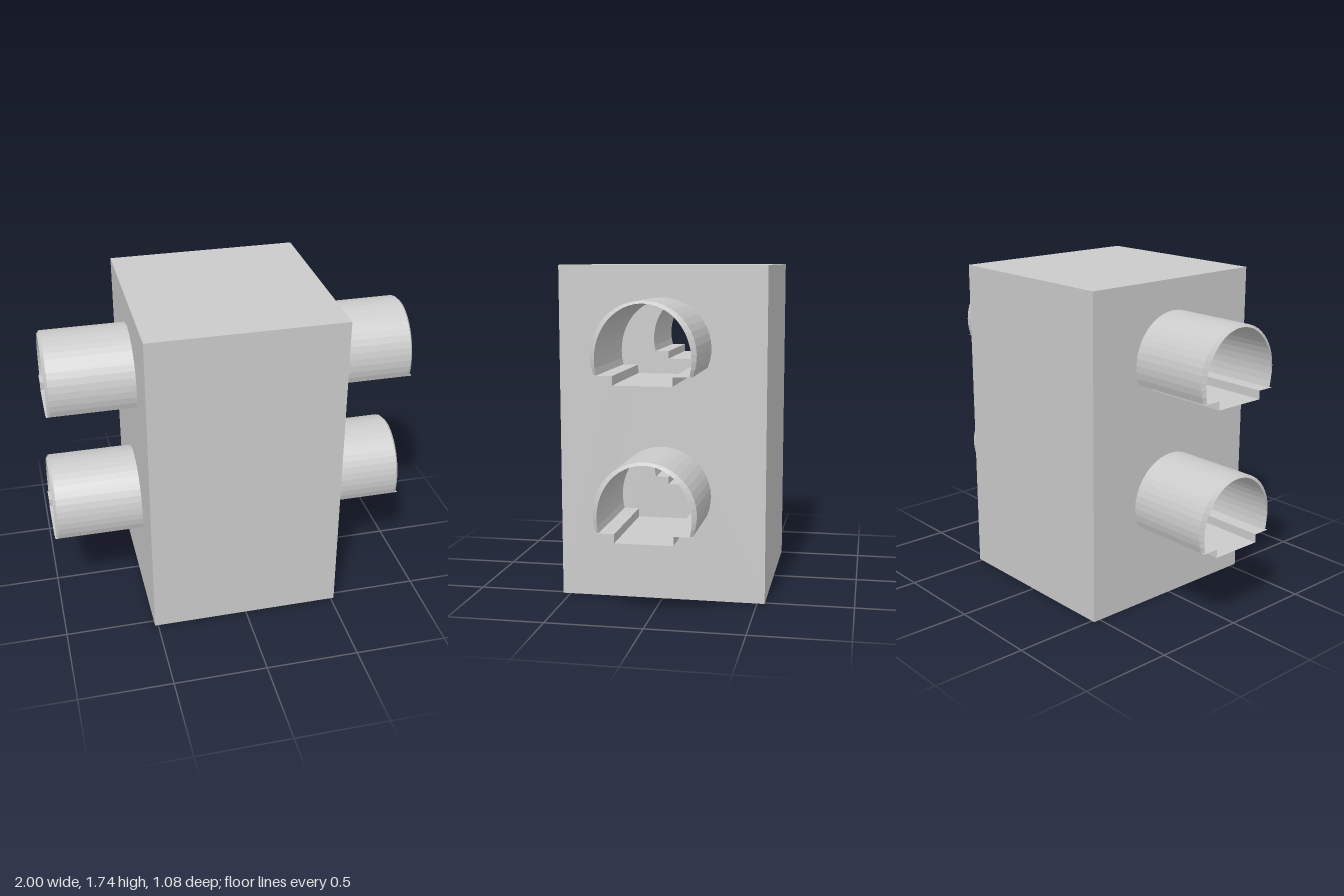
import * as THREE from 'three';

const W = 1.035, H = 1.74, D = 1.08;       // housing size
const LEVELS = [0.555, 1.322];             // height of each duct axis
const LEDGE = -0.097, FLOOR = -0.142;      // duct base, measured from its axis
const INNER_X = 0.42;                      // where a duct ends inside the housing

const grey = new THREE.MeshStandardMaterial({ color: 0xcccccc, flatShading: true, side: THREE.DoubleSide });

function addMesh(parent, name, geometry) {
  const mesh = new THREE.Mesh(geometry, grey);
  mesh.name = name;
  parent.add(mesh);
  return mesh;
}

// Elliptical arch as [z, y] points, cut off level at the ledge
function arch(rz, ry, cy, n = 28) {
  const start = Math.asin((LEDGE - cy) / ry);
  const points = [];
  for (let i = 0; i <= n; i++) {
    const a = start + (Math.PI - 2 * start) * i / n;
    points.push([rz * Math.cos(a), cy + ry * Math.sin(a)]);
  }
  return points;
}

const outerArch = arch(0.256, 0.256, 0);
const innerArch = arch(0.233, 0.265, -0.022);
const channel = [
  outerArch[outerArch.length - 1],
  [-0.145, LEDGE], [-0.145, FLOOR], [0.145, FLOOR], [0.145, LEDGE],
  outerArch[0],
];

// Skin through a list of sections, each { x, points }
function loft(sections) {
  const n = sections[0].points.length;
  const position = [], index = [];
  sections.forEach(({ x, points }) => points.forEach(([z, y]) => position.push(x, y, z)));
  for (let s = 0; s < sections.length - 1; s++) {
    for (let i = 0; i < n - 1; i++) {
      const a = s * n + i, b = a + n;
      index.push(a, a + 1, b, b, a + 1, b + 1);
    }
  }
  const geometry = new THREE.BufferGeometry();
  geometry.setAttribute('position', new THREE.Float32BufferAttribute(position, 3));
  geometry.setIndex(index);
  geometry.computeVertexNormals();
  return geometry;
}

// Side wall with a duct-shaped opening at each level
function sideWall() {
  const shape = new THREE.Shape([
    new THREE.Vector2(-D / 2, 0), new THREE.Vector2(D / 2, 0),
    new THREE.Vector2(D / 2, H), new THREE.Vector2(-D / 2, H),
  ]);
  const outline = [...outerArch, ...channel.slice(1, -1)];
  for (const level of LEVELS) {
    shape.holes.push(new THREE.Path(outline.map(([z, y]) => new THREE.Vector2(z, y + level))));
  }
  return new THREE.ShapeGeometry(shape);
}

// Arched duct with a bevelled mouth and a stepped floor
function duct(side, reach) {
  const group = new THREE.Group();
  const x0 = side * INNER_X;
  addMesh(group, 'ductArch', loft([
    { x: x0, points: innerArch },
    { x: x0, points: outerArch },
    { x: side * (reach - 0.02), points: outerArch },
    { x: side * (reach - 0.005), points: innerArch },
    { x: x0, points: innerArch },
  ]));
  addMesh(group, 'ductFloor', loft([
    { x: x0, points: channel },
    { x: side * reach, points: channel },
  ]));
  return group;
}

export function createModel() {
  const model = new THREE.Group();
  model.name = 'ductHousing';

  // Thin housing, open underneath
  const housing = new THREE.Group();
  housing.name = 'housing';
  model.add(housing);
  addMesh(housing, 'frontWall', new THREE.PlaneGeometry(W, H).translate(0, H / 2, D / 2));
  addMesh(housing, 'backWall', new THREE.PlaneGeometry(W, H).rotateY(Math.PI).translate(0, H / 2, -D / 2));
  addMesh(housing, 'topPanel', new THREE.PlaneGeometry(W, D).rotateX(-Math.PI / 2).translate(0, H, 0));
  for (const side of [-1, 1]) {
    addMesh(housing, side > 0 ? 'leftWall' : 'rightWall',
      sideWall().rotateY(side * Math.PI / 2).translate(side * W / 2, 0, 0));
  }

  // Two ducts on each side, with slightly different lengths
  const ducts = [
    ['lowerRightDuct', -1, 0, 1.0], ['lowerLeftDuct', 1, 0, 0.98],
    ['upperRightDuct', -1, 1, 0.985], ['upperLeftDuct', 1, 1, 0.995],
  ];
  for (const [name, side, level, reach] of ducts) {
    const group = duct(side, reach);
    group.name = name;
    group.position.y = LEVELS[level];
    model.add(group);
  }
  return model;
}
